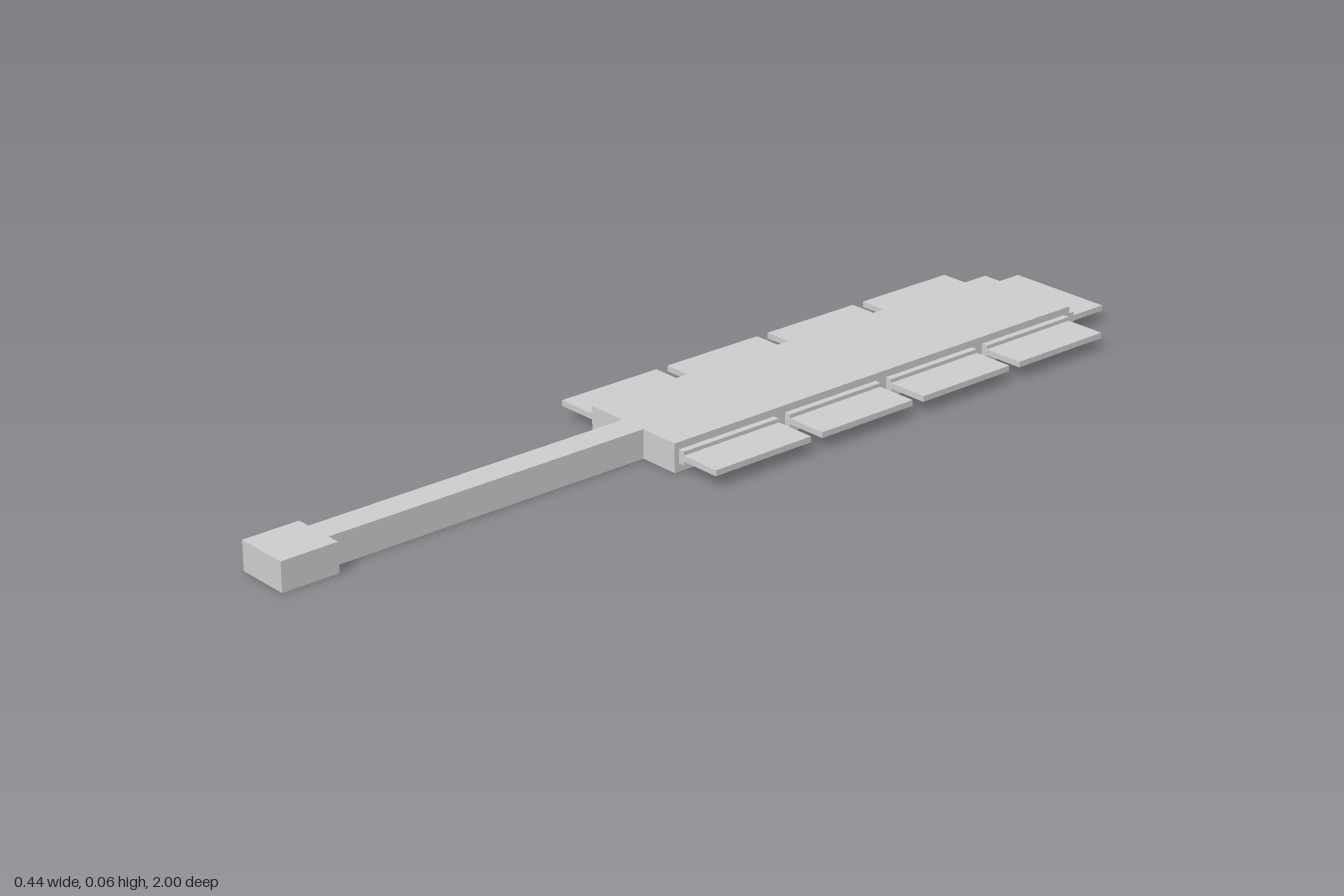
import * as THREE from 'three';

export function createModel() {
  const model = new THREE.Group();
  const material = new THREE.MeshStandardMaterial({ color: 0xcccccc, flatShading: true });

  // Box given by its min and max on each axis
  function box(name, [x0, x1], [y0, y1], [z0, z1]) {
    const mesh = new THREE.Mesh(new THREE.BoxGeometry(x1 - x0, y1 - y0, z1 - z0), material);
    mesh.position.set((x0 + x1) / 2, (y0 + y1) / 2, (z0 + z1) / 2);
    mesh.name = name;
    model.add(mesh);
  }

  const thick = [0, 0.06];
  const collarY = [0.017, 0.045];
  const bladeY = [0.025, 0.037];
  const half = 0.119; // half width of the body

  // Flat paddle body, handle and pommel
  box('body', [-half, half], thick, [-0.9, 0.165]);
  box('handle', [-0.03, 0.03], thick, [0.165, 0.88]);
  box('pommel', [-0.058, 0.058], thick, [0.88, 1]);

  // Four flat blades along each edge, each set in a short collar
  for (let i = 0; i < 4; i++) {
    const z = 0.036 - i * 0.267;
    const span = [z - 0.119, z + 0.119];
    for (const [side, s] of [['left', 1], ['right', -1]]) {
      const range = (a, b) => (s > 0 ? [a, b] : [-b, -a]);
      box(side + 'Collar' + (i + 1), range(half, 0.133), collarY, span);
      box(side + 'Blade' + (i + 1), range(0.133, 0.222), bladeY, span);
    }
  }

  // Blade at the tip
  box('tipCollar', [-half, half], collarY, [-0.913, -0.9]);
  box('tipBlade', [-half, half], bladeY, [-1, -0.913]);

  return model;
}
